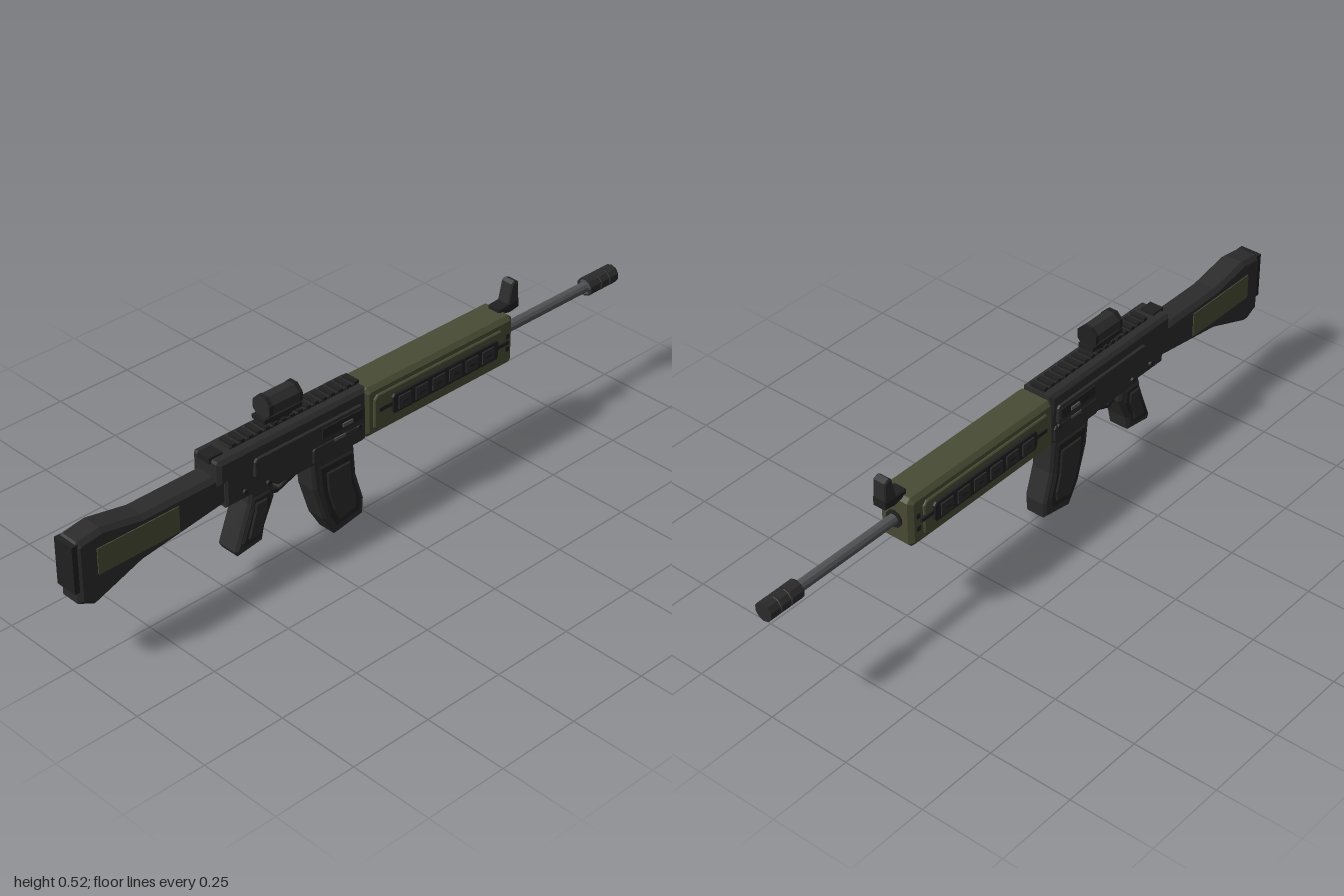
import * as THREE from 'three';

const mat = (name, color) => {
  const m = new THREE.MeshStandardMaterial({ color });
  m.name = name;
  return m;
};

export function createModel() {
  const root = new THREE.Group();
  root.name = 'rifle';
  const charcoal = mat('charcoal', 0x2b2b2c);
  const black = mat('black', 0x202021);
  const olive = mat('olive', 0x484b34);
  const steel = mat('steel', 0x515254);

  const add = (name, geo, material, x = 0, y = 0, z = 0) => {
    const m = new THREE.Mesh(geo, material);
    m.name = name;
    m.position.set(x, y, z);
    root.add(m);
    return m;
  };
  // side profile extruded symmetrically across z, with a chamfer kept inside the outline
  const slab = (name, pts, half, bevel, material, z = 0) => {
    const shape = new THREE.Shape(pts.map(p => new THREE.Vector2(p[0], p[1])));
    const geo = new THREE.ExtrudeGeometry(shape, {
      depth: 2 * (half - bevel), bevelEnabled: bevel > 0, bevelThickness: bevel,
      bevelSize: bevel, bevelOffset: -bevel, bevelSegments: 1,
    });
    geo.translate(0, 0, bevel - half);
    return add(name, geo, material, 0, 0, z);
  };
  const rect = (x0, x1, y0, y1, c = 0) => c
    ? [[x0 + c, y0], [x1 - c, y0], [x1, y0 + c], [x1, y1 - c], [x1 - c, y1], [x0 + c, y1], [x0, y1 - c], [x0, y0 + c]]
    : [[x0, y0], [x1, y0], [x1, y1], [x0, y1]];
  const box = (name, x0, x1, y0, y1, half, material, z = 0) =>
    add(name, new THREE.BoxGeometry(x1 - x0, y1 - y0, 2 * half), material, (x0 + x1) / 2, (y0 + y1) / 2, z);
  // faceted cylinder along x
  const rod = (name, x0, x1, y, r, sides, material, z = 0) => {
    const geo = new THREE.CylinderGeometry(r, r, x1 - x0, sides, 1, false, Math.PI / sides).toNonIndexed();
    geo.rotateZ(-Math.PI / 2);
    geo.computeVertexNormals();
    return add(name, geo, material, (x0 + x1) / 2, y, z);
  };
  // shrinks a profile toward its centre
  const inset = (pts, sx, sy) => {
    const cx = pts.reduce((s, p) => s + p[0], 0) / pts.length;
    const cy = pts.reduce((s, p) => s + p[1], 0) / pts.length;
    return pts.map(p => [cx + (p[0] - cx) * sx, cy + (p[1] - cy) * sy]);
  };

  // stock
  slab('stock', [[-0.99, 0.22], [-0.94, 0.195], [-0.79, 0.25], [-0.53, 0.287], [-0.5, 0.287],
    [-0.5, 0.385], [-0.78, 0.385], [-0.91, 0.41], [-0.98, 0.40], [-0.99, 0.39]], 0.04, 0.012, charcoal);
  box('buttPad', -1, -0.98, 0.255, 0.395, 0.034, black);
  for (const s of [-1, 1]) box('stockPanel', -0.93, -0.67, 0.285, 0.362, 0.003, olive, s * 0.04);

  // receiver
  slab('lowerReceiver', [[-0.52, 0.285], [-0.36, 0.285], [-0.34, 0.272], [-0.03, 0.272], [-0.03, 0.38], [-0.52, 0.38]],
    0.05, 0.006, charcoal);
  slab('upperReceiver', [[-0.545, 0.36], [-0.03, 0.36], [-0.03, 0.432], [-0.54, 0.432], [-0.545, 0.425]],
    0.052, 0.01, charcoal);
  box('rearSight', -0.55, -0.505, 0.42, 0.438, 0.022, black);
  for (const s of [-1, 1]) {
    slab('receiverSidePanel', rect(-0.43, -0.05, 0.335, 0.395, 0.008), 0.006, 0.002, charcoal, s * 0.054);
    box('ejectionPort', -0.2, -0.055, 0.355, 0.385, 0.003, black, s * 0.061);
    box('boltHandle', -0.13, -0.095, 0.362, 0.373, 0.004, steel, s * 0.064);
    box('selector', -0.15, -0.11, 0.322, 0.33, 0.004, steel, s * 0.052);
    slab('magazineWell', rect(-0.225, -0.04, 0.278, 0.33, 0.008), 0.004, 0.002, charcoal, s * 0.051);
    for (const [x, y] of [[-0.46, 0.31], [-0.38, 0.3], [-0.06, 0.325]]) {
      const pin = new THREE.CylinderGeometry(0.008, 0.008, 0.008, 8).rotateX(Math.PI / 2);
      add('pin', pin, black, x, y, s * 0.053);
    }
  }

  // top rail
  box('rail', -0.48, -0.035, 0.428, 0.438, 0.02, charcoal);
  for (let i = 0; i < 16; i++) {
    const x = -0.475 + i * 0.0285;
    box('railTooth', x, x + 0.015, 0.436, 0.446, 0.024, black);
  }

  // optic
  box('opticMount', -0.335, -0.265, 0.44, 0.47, 0.018, black);
  box('opticBase', -0.365, -0.235, 0.455, 0.468, 0.024, black);
  rod('opticBody', -0.355, -0.24, 0.493, 0.033, 8, charcoal);
  for (const x of [-0.352, -0.251]) rod('opticRing', x, x + 0.012, 0.493, 0.0345, 8, black);

  // pistol grip
  const grip = [[-0.485, 0.12], [-0.475, 0.103], [-0.39, 0.115], [-0.38, 0.16], [-0.345, 0.235], [-0.35, 0.29], [-0.43, 0.29], [-0.435, 0.25]];
  slab('grip', grip, 0.038, 0.008, charcoal);
  slab('gripPanel', inset(grip, 0.72, 0.72), 0.044, 0.004, black);
  slab('gripInset', inset(grip, 0.5, 0.58), 0.048, 0.004, charcoal);

  // magazine
  const mag = [[-0.13, 0.004], [-0.025, 0.022], [-0.022, 0.07], [-0.05, 0.16], [-0.06, 0.28], [-0.215, 0.28], [-0.205, 0.18], [-0.17, 0.07]];
  slab('magazine', mag, 0.036, 0.008, charcoal);
  slab('magazinePanel', inset(mag, 0.76, 0.78), 0.042, 0.004, black);
  slab('magazineInset', inset(mag, 0.56, 0.62), 0.046, 0.004, charcoal);

  // trigger and guard
  slab('triggerGuard', [[-0.355, 0.235], [-0.32, 0.222], [-0.22, 0.258], [-0.2, 0.28], [-0.225, 0.275],
    [-0.315, 0.235], [-0.34, 0.243]], 0.018, 0.002, black);
  slab('trigger', [[-0.3, 0.28], [-0.305, 0.25], [-0.29, 0.24], [-0.285, 0.28]], 0.008, 0.001, steel);

  // handguard
  slab('handguard', rect(-0.035, 0.53, 0.272, 0.425, 0.012), 0.055, 0.012, olive);
  for (const s of [-1, 1]) {
    slab('handguardSidePanel', rect(-0.01, 0.485, 0.29, 0.4, 0.012), 0.006, 0.003, olive, s * 0.056);
    slab('ventStrip', rect(0.05, 0.455, 0.322, 0.382, 0.008), 0.005, 0.002, black, s * 0.065);
    for (let i = 0; i < 6; i++) {
      const x = 0.068 + i * 0.064;
      box('ventBlock', x, x + 0.046, 0.333, 0.371, 0.003, charcoal, s * 0.071);
      box('ventRib', x + 0.012, x + 0.034, 0.348, 0.356, 0.002, black, s * 0.073);
    }
    for (const x of [0.005, 0.455]) box('slotPin', x, x + 0.045, 0.348, 0.36, 0.004, black, s * 0.062);
    for (const y of [0.32, 0.36]) box('frontPin', 0.497, 0.51, y, y + 0.015, 0.003, black, s * 0.055);
  }

  // front sight
  slab('frontSightBase', [[0.505, 0.42], [0.55, 0.41], [0.585, 0.415], [0.585, 0.442], [0.505, 0.436]], 0.022, 0.003, black);
  slab('frontSightPost', [[0.54, 0.43], [0.585, 0.43], [0.582, 0.495], [0.565, 0.503], [0.555, 0.495]], 0.021, 0.004, charcoal);

  // barrel and muzzle
  rod('barrel', 0.5, 0.92, 0.348, 0.016, 10, steel);
  rod('barrelCollar', 0.52, 0.535, 0.348, 0.026, 10, black);
  rod('muzzleCore', 0.885, 0.998, 0.348, 0.023, 10, steel);
  for (const [a, b] of [[0.885, 0.925], [0.931, 0.961], [0.967, 1]]) rod('muzzleRing', a, b, 0.348, 0.028, 10, charcoal);

  return root;
}
